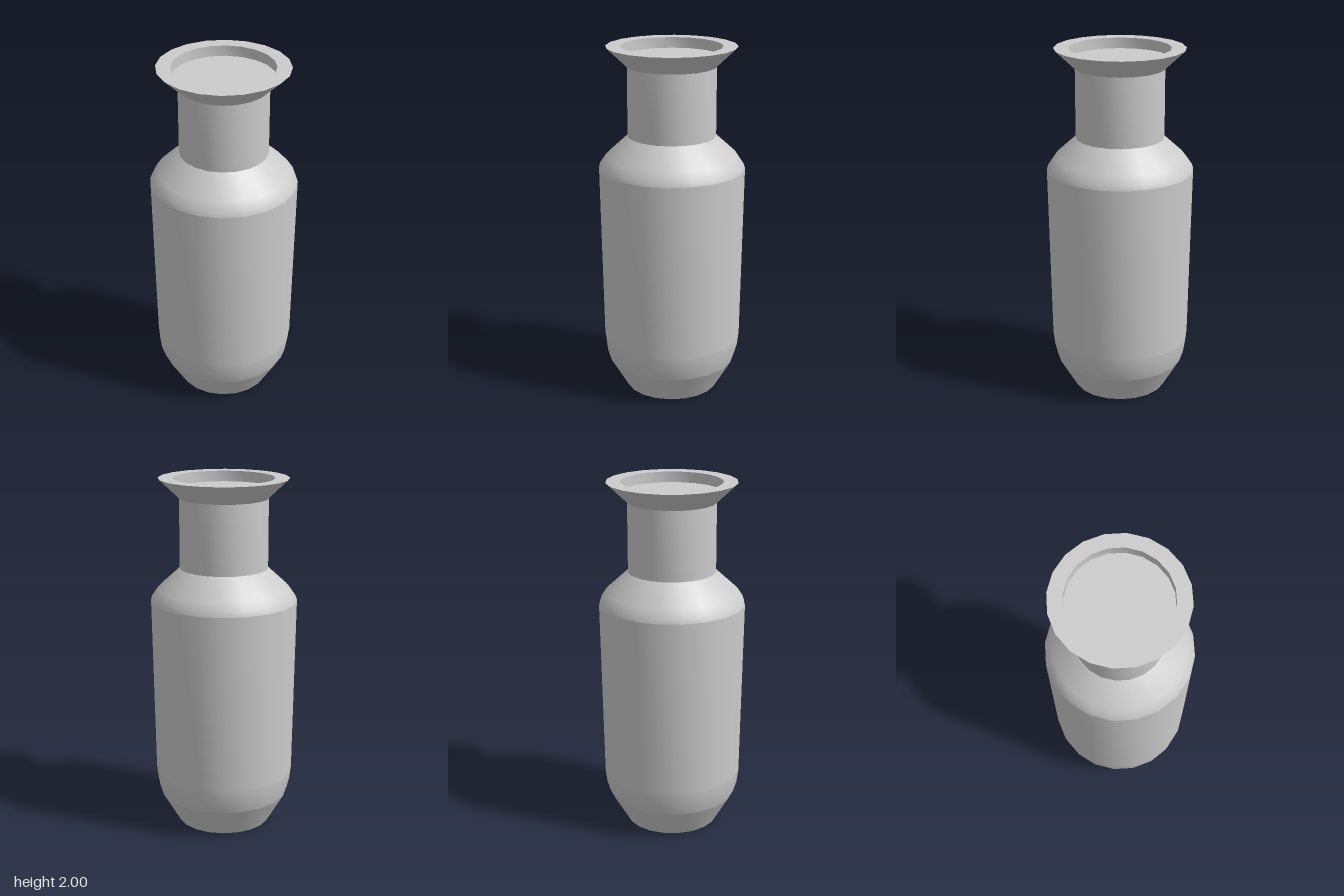
import * as THREE from 'three';
import { toCreasedNormals } from 'three/addons/utils/BufferGeometryUtils.js';

const SIDES = 20;

// Profiles as [radius, height], bottom to top; neighbours share their end rings.
const PARTS = {
  foot: [[0, 0], [0.263, 0], [0.363, 0.17]],
  lowerCurve: [[0.363, 0.17], [0.384, 0.235], [0.393, 0.31]],
  body: [[0.393, 0.31], [0.411, 1.315]],
  shoulder: [[0.411, 1.315], [0.403, 1.34], [0.37, 1.388], [0.247, 1.5]],
  neck: [[0.247, 1.5], [0.247, 1.89]],
  flaredLip: [[0.247, 1.89], [0.363, 2], [0.282, 2], [0.282, 1.94]],
  mouthFloor: [[0.282, 1.94], [0, 1.94]],
};

export function createModel() {
  const vase = new THREE.Group();
  vase.name = 'vase';
  const material = new THREE.MeshStandardMaterial({ color: 0xcccccc });

  for (const [name, profile] of Object.entries(PARTS)) {
    const points = profile.map(([r, y]) => new THREE.Vector2(r, y));
    // Smooth around the vase, sharp where the profile turns strongly
    const geometry = toCreasedNormals(new THREE.LatheGeometry(points, SIDES), 0.45);
    const mesh = new THREE.Mesh(geometry, material);
    mesh.name = name;
    vase.add(mesh);
  }
  return vase;
}
